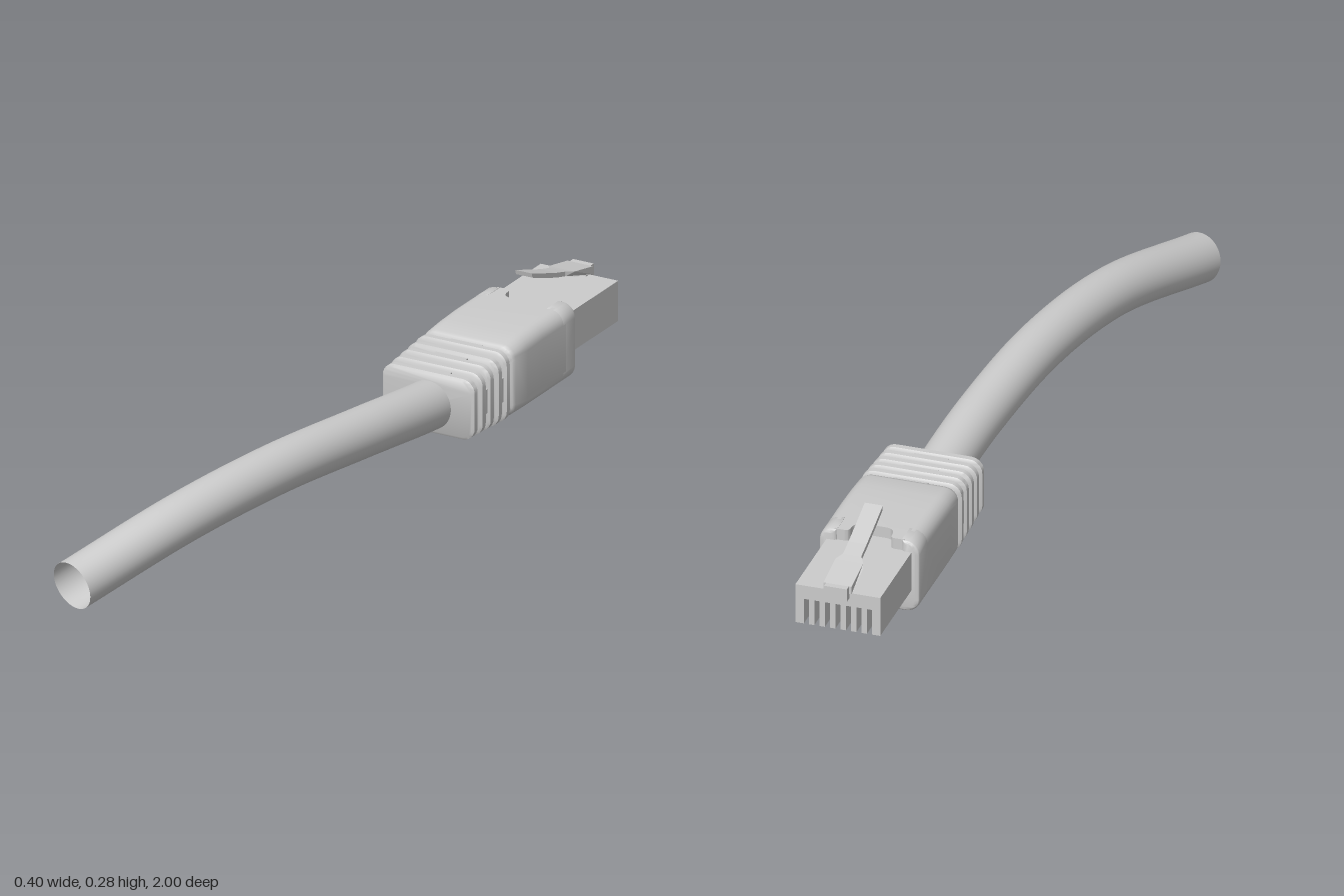
import * as THREE from 'three';
import { toCreasedNormals } from 'three/addons/utils/BufferGeometryUtils.js';

const CX = 0.077; // centre line of the connector
const material = new THREE.MeshStandardMaterial({ color: 0xcccccc });
const thin = new THREE.MeshStandardMaterial({ color: 0xcccccc, side: THREE.DoubleSide });

function polygon(points) {
  return new THREE.Shape(points.map(([x, y]) => new THREE.Vector2(x, y)));
}

// Points of a rounded rectangle, counterclockwise
function roundedRect(hw, y0, y1, r, steps = 6) {
  const pts = [];
  const corners = [[hw - r, y1 - r], [r - hw, y1 - r], [r - hw, y0 + r], [hw - r, y0 + r]];
  corners.forEach(([x, y], k) => {
    for (let i = 0; i <= steps; i++) {
      const a = (k + i / steps) * Math.PI / 2;
      pts.push([x + r * Math.cos(a), y + r * Math.sin(a)]);
    }
  });
  return pts;
}

// Closed skin through rounded rectangles [z, halfWidth, yBottom, yTop, radius], z increasing
function loft(sections) {
  const pos = [], idx = [];
  const rings = sections.map(([z, ...rect]) => roundedRect(...rect).map(([x, y]) => [x, y, z]));
  const n = rings[0].length;
  rings.forEach(ring => ring.forEach(p => pos.push(...p)));
  for (let i = 0; i < rings.length - 1; i++) {
    for (let j = 0; j < n; j++) {
      const a = i * n + j, b = i * n + (j + 1) % n;
      idx.push(a, b, b + n, a, b + n, a + n);
    }
  }
  const last = (rings.length - 1) * n;
  for (let j = 1; j < n - 1; j++) {
    idx.push(0, j + 1, j, last, last + j, last + j + 1);
  }
  const g = new THREE.BufferGeometry();
  g.setAttribute('position', new THREE.Float32BufferAttribute(pos, 3));
  g.setIndex(idx);
  return toCreasedNormals(g, 0.75);
}

function extrude(shape, depth, options = {}) {
  return new THREE.ExtrudeGeometry(shape, { depth, bevelEnabled: false, curveSegments: 8, ...options });
}

// Plan shape (x, z) standing between two heights
function slab(shape, y0, y1) {
  return extrude(shape, y1 - y0).rotateX(Math.PI / 2).translate(0, y1, 0);
}

// Side profile (z, y) centred across x
function sideProfile(shape, width) {
  return extrude(shape, width).rotateY(-Math.PI / 2).translate(width / 2, 0, 0);
}

export function createModel() {
  const model = new THREE.Group();
  model.name = 'networkCable';
  const connector = new THREE.Group();
  connector.name = 'connector';
  connector.position.x = CX;
  model.add(connector);
  const add = (name, geometry, parent = connector, mat = material) => {
    const mesh = new THREE.Mesh(geometry, mat);
    mesh.name = name;
    parent.add(mesh);
    return mesh;
  };

  // Cable: open tube bending down and to the side
  const path = new THREE.CatmullRomCurve3([
    [0.081, 0.098, -0.4], [0.078, 0.105, -0.28], [0.06, 0.132, 0], [0.02, 0.15, 0.33],
    [-0.043, 0.13, 0.65], [-0.142, 0.06, 0.98],
  ].map(p => new THREE.Vector3(...p)));
  add('cable', new THREE.TubeGeometry(path, 64, 0.06, 40), model, thin);

  // Boot body, softened toward the strain relief
  add('bootBody', loft([
    [-0.705, 0.122, 0.027, 0.213, 0.034], [-0.6, 0.122, 0.026, 0.213, 0.034],
    [-0.53, 0.122, 0.026, 0.21, 0.034], [-0.475, 0.122, 0.027, 0.205, 0.034],
    [-0.465, 0.119, 0.03, 0.202, 0.032], [-0.46, 0.112, 0.037, 0.195, 0.028],
  ]));

  // Boot rear rim, open at the top above the latch
  const inset = 0.01;
  const rim = roundedRect(0.122 - inset, 0.027 + inset, 0.213 - inset, 0.024);
  const cut = 0.078 + inset;
  rim.splice(7, 0, [cut, 0.203], [cut, 0.17], [-cut, 0.17], [-cut, 0.203]);
  add('bootRim', toCreasedNormals(extrude(polygon(rim), 0.05, {
    bevelEnabled: true, bevelSize: inset, bevelThickness: inset, bevelSegments: 4,
  }).translate(0, 0, -0.745), 0.6));

  // Top of the rim, with the rounded latch notch in plan
  const notch = new THREE.Shape();
  notch.moveTo(-0.085, -0.705);
  notch.lineTo(-0.085, -0.75);
  notch.lineTo(-0.062, -0.75);
  notch.quadraticCurveTo(-0.05, -0.75, -0.05, -0.738);
  notch.quadraticCurveTo(-0.05, -0.708, -0.025, -0.708);
  notch.lineTo(0.025, -0.708);
  notch.quadraticCurveTo(0.05, -0.708, 0.05, -0.738);
  notch.quadraticCurveTo(0.05, -0.75, 0.062, -0.75);
  notch.lineTo(0.085, -0.75);
  notch.lineTo(0.085, -0.705);
  add('latchNotch', toCreasedNormals(slab(notch, 0.165, 0.213), 0.6));

  // Strain relief: core, five ribs and alternating webs between them
  const relief = new THREE.Group();
  relief.name = 'strainRelief';
  connector.add(relief);
  add('reliefCore', loft([[-0.48, 0.1, 0.05, 0.175, 0.025], [-0.285, 0.1, 0.05, 0.17, 0.025]]), relief);
  for (let i = 0; i < 5; i++) {
    const z = -0.292 - i * 0.037;
    const lo = 0.036 - i * 0.0025, hi = 0.186 + i * 0.004;
    add('rib', loft([[-0.011, 0.006], [-0.007, 0], [0.007, 0], [0.011, 0.006]].map(
      ([dz, s]) => [z + dz, 0.122 - s, lo + s, hi - s, 0.032 - s])), relief);
    const web = i % 2
      ? new THREE.BoxGeometry(0.232, 0.06, 0.03)
      : new THREE.BoxGeometry(0.085, hi - lo - 0.01, 0.03);
    add('web', web.translate(0, (lo + hi) / 2, z - 0.0185), relief);
  }

  // Plug body
  const plug = new THREE.Group();
  plug.name = 'plug';
  connector.add(plug);
  const W = 0.103;
  add('plugBody', new THREE.BoxGeometry(2 * W, 0.085, 0.23).translate(0, 0.1425, -0.815), plug);

  // Plug underside with two shallow recesses
  const rect = (x, z0, z1) => [[-x, z0], [x, z0], [x, z1], [-x, z1]];
  const under = polygon(rect(W, -0.93, -0.7));
  under.holes.push(polygon(rect(0.08, -0.915, -0.89)), polygon(rect(0.08, -0.865, -0.8)));
  add('plugUnderside', slab(under, 0.085, 0.1), plug);

  // Plug tip with a comb of contact slots cut from below
  const comb = [[W, 0.185], [-W, 0.185], [-W, 0.085]];
  for (let i = -3; i <= 3; i++) {
    const x = i * 0.0255, s = 0.006;
    comb.push([x - s, 0.085], [x - s, 0.15], [x + s, 0.15], [x + s, 0.085]);
  }
  comb.push([W, 0.085]);
  add('contactComb', extrude(polygon(comb), 0.05).translate(0, 0, -0.98), plug);

  // Latch: hinge block at the tip, broad shoulder, slim springy arm
  const latch = new THREE.Group();
  latch.name = 'latch';
  latch.position.x = -0.001;
  connector.add(latch);
  add('latchHinge', sideProfile(polygon([
    [-1, 0.172], [-0.965, 0.172], [-0.965, 0.205], [-1, 0.205],
  ]), 0.055), latch);
  const shoulder = sideProfile(polygon([
    [-0.985, 0.185], [-0.9, 0.209], [-0.88, 0.215], [-0.88, 0.227], [-0.9, 0.222], [-0.985, 0.205],
  ]), 0.068);
  const p = shoulder.attributes.position;
  for (let i = 0; i < p.count; i++) {
    if (p.getZ(i) > -0.89) p.setX(i, p.getX(i) * 0.66); // taper into the arm
  }
  shoulder.computeVertexNormals();
  add('latchShoulder', shoulder, latch);
  add('latchArm', sideProfile(polygon([
    [-0.9, 0.21], [-0.84, 0.226], [-0.78, 0.246], [-0.727, 0.266],
    [-0.723, 0.278], [-0.78, 0.258], [-0.84, 0.238], [-0.9, 0.221],
  ]), 0.044), latch);

  return model;
}
